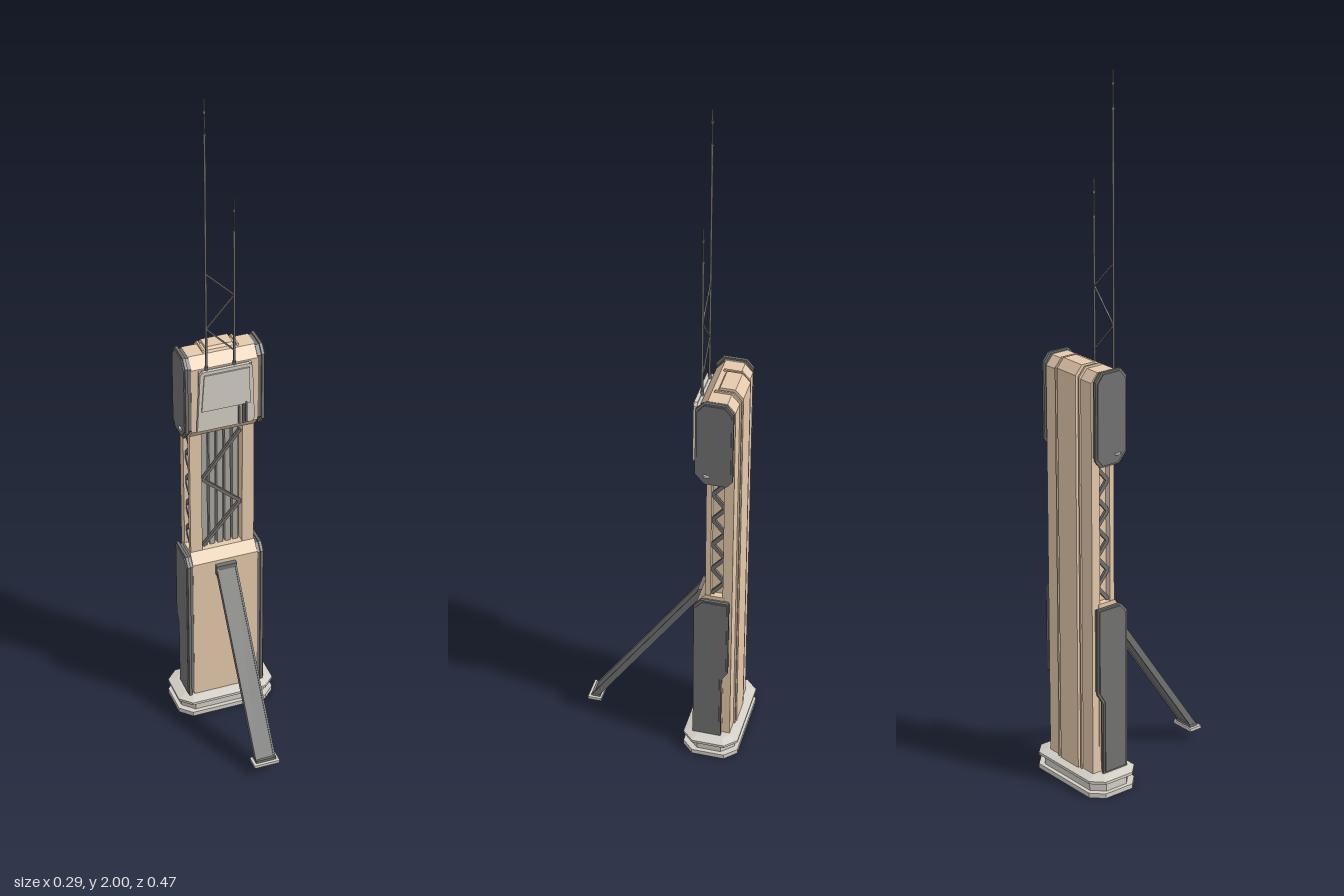
import * as THREE from 'three';

const mat = (name, color) => {
  const m = new THREE.MeshStandardMaterial({ color });
  m.name = name;
  return m;
};

export function createModel() {
  const tan = mat('tan casing', 0xe4c9ab);
  const dark = mat('dark grey metal', 0x727271);
  const light = mat('light grey', 0xd3cfc5);
  const slatGrey = mat('slat grey', 0xa9a7a1);
  const root = new THREE.Group();

  const add = (name, geo, m) => {
    const mesh = new THREE.Mesh(geo, m);
    mesh.name = name;
    root.add(mesh);
    return mesh;
  };
  // box given by its limits
  const box = (name, m, x0, x1, y0, y1, z0, z1) =>
    add(name, new THREE.BoxGeometry(x1 - x0, y1 - y0, z1 - z0)
      .translate((x0 + x1) / 2, (y0 + y1) / 2, (z0 + z1) / 2), m);
  // side profile of [z, y] points, extruded from x0 to x1
  const slab = (name, m, pts, x0, x1) => {
    const shape = new THREE.Shape(pts.map(p => new THREE.Vector2(...p)));
    const g = new THREE.ExtrudeGeometry(shape, { depth: x1 - x0, bevelEnabled: false });
    return add(name, g.rotateY(-Math.PI / 2).translate(x1, 0, 0), m);
  };
  // square bar between two points
  const bar = (name, m, a, b, w, d = w) => {
    const p = new THREE.Vector3(...a), q = new THREE.Vector3(...b);
    const mesh = add(name, new THREE.BoxGeometry(w, d, p.distanceTo(q)), m);
    mesh.position.copy(p).add(q).multiplyScalar(0.5);
    mesh.lookAt(q);
    return mesh;
  };
  const zigzag = (name, m, pts, w, d) => {
    for (let i = 1; i < pts.length; i++) bar(name, m, pts[i - 1], pts[i], w, d);
  };
  const mirrored = fn => [-1, 1].forEach(fn);
  const span = (s, a, b) => (s > 0 ? [a, b] : [-b, -a]);

  // octagonal base, hollow underneath, with a sloping top
  const octagon = (w, d, c, T) => new T([
    [-w, -d + c], [-w + c, -d], [w - c, -d], [w, -d + c],
    [w, d - c], [w - c, d], [-w + c, d], [-w, d - c],
  ].map(p => new THREE.Vector2(...p)));
  const baseLayer = (name, m, inset, y0, y1, hole, slope = 0) => {
    const shape = octagon(0.146 - inset, 0.08 - inset, 0.033, THREE.Shape);
    if (hole) shape.holes.push(octagon(0.146 - hole, 0.08 - hole, 0.025, THREE.Path));
    const g = new THREE.ExtrudeGeometry(shape, {
      depth: y1 - y0, bevelEnabled: slope > 0, bevelThickness: 0.007, bevelSize: slope,
      bevelOffset: -slope, bevelSegments: 1,
    });
    add(name, g.rotateX(-Math.PI / 2).translate(0, y0, -0.155), m);
  };
  baseLayer('baseLowerFlange', light, 0, 0, 0.014, 0.025);
  baseLayer('baseWaist', light, 0.012, 0.014, 0.042, 0.03);
  baseLayer('baseUpperFlange', light, 0, 0.042, 0.05);
  baseLayer('baseSlope', light, 0, 0.049, 0.05, 0, 0.025);
  baseLayer('baseRecess', dark, 0.028, 0.018, 0.024);
  for (let i = -2; i <= 2; i++)
    box('baseVent', slatGrey, i * 0.03 - 0.01, i * 0.03 + 0.01, 0.013, 0.018, -0.175, -0.135);

  // full-height back spine: centre ridge, grooves and outer strips
  const spine = (back, top) => [
    [-0.18, 0.05], [-0.18, top], [back + 0.022, top], [back, top - 0.025], [back, 0.05],
  ];
  slab('spineRidge', tan, spine(-0.214, 1.228), -0.039, 0.039);
  mirrored(s => {
    slab('spineGroove', tan, spine(-0.203, 1.217), ...span(s, 0.039, 0.047));
    slab('spineStrip', tan, spine(-0.212, 1.226), ...span(s, 0.047, 0.052));
    slab('spineSide', tan, spine(-0.207, 1.22), ...span(s, 0.052, 0.096));
  });

  // lower casing with sloped front shoulder
  slab('lowerCasing', tan, [
    [-0.185, 0.05], [-0.106, 0.05], [-0.106, 0.53], [-0.13, 0.56], [-0.185, 0.56],
  ], -0.097, 0.097);

  // head casing
  slab('headCasing', tan, [
    [-0.185, 0.96], [-0.13, 0.96], [-0.106, 0.988], [-0.106, 1.19], [-0.131, 1.22], [-0.185, 1.22],
  ], -0.096, 0.096);
  slab('headCrown', tan, [[-0.185, 1.215], [-0.142, 1.215], [-0.15, 1.228], [-0.185, 1.228]], -0.039, 0.039);
  mirrored(s => slab('crownRib', tan,
    [[-0.185, 1.215], [-0.134, 1.215], [-0.14, 1.226], [-0.185, 1.226]], ...span(s, 0.047, 0.052)));

  // open middle: posts, inner walls, slats and lattice
  box('slatBacking', dark, -0.062, 0.062, 0.56, 0.96, -0.185, -0.16);
  for (let i = 0; i < 5; i++) {
    const x = (i - 2) * 0.023;
    box('slat', slatGrey, x - 0.008, x + 0.008, 0.56, 0.96, -0.16, -0.148);
  }
  zigzag('frontLattice', dark, [
    [-0.056, 0.57, -0.138], [0.056, 0.70, -0.138], [-0.056, 0.80, -0.138], [0.056, 0.945, -0.138],
  ], 0.009);
  mirrored(s => {
    box('frontPost', tan, ...span(s, 0.06, 0.095), 0.555, 0.965, -0.145, -0.13);
    box('innerWall', tan, ...span(s, 0.06, 0.078), 0.555, 0.965, -0.185, -0.145);
    const pts = [];
    for (let i = 0; i <= 9; i++)
      pts.push([s * 0.087, 0.565 + i * 0.043, i % 2 ? -0.183 : -0.147]);
    zigzag('sideLattice', dark, pts, 0.007, 0.011);
  });

  // dark side armour, an inner layer and a raised outer plate
  const lowerArmour = [
    [-0.184, 0.057], [-0.102, 0.057], [-0.102, 0.53], [-0.122, 0.553],
    [-0.202, 0.553], [-0.202, 0.3], [-0.184, 0.27],
  ];
  const headArmour = [
    [-0.128, 0.96], [-0.102, 0.99], [-0.102, 1.2], [-0.122, 1.224],
    [-0.187, 1.224], [-0.206, 1.2], [-0.206, 0.98], [-0.19, 0.96],
  ];
  const shrink = pts => {
    const c = new THREE.Box2().setFromPoints(pts.map(p => new THREE.Vector2(...p))).getCenter(new THREE.Vector2());
    return pts.map(([z, y]) => [z - Math.sign(z - c.x) * 0.005, y - Math.sign(y - c.y) * 0.005]);
  };
  mirrored(s => {
    [['lowerArmour', lowerArmour], ['headArmour', headArmour]].forEach(([name, pts]) => {
      slab(name + 'Edge', dark, shrink(pts), ...span(s, 0.095, 0.107));
      slab(name, dark, pts, ...span(s, 0.106, 0.114));
      slab(name + 'Face', dark, shrink(pts), ...span(s, 0.114, 0.117));
    });
    const knob = add('sideKnob', new THREE.CylinderGeometry(0.01, 0.01, 0.006, 12), light);
    knob.position.set(s * 0.114, 0.99, -0.135);
  });

  // front display panel with a raised tapering face
  const plate = (name, m, pts, z, depth) => add(name, new THREE.ExtrudeGeometry(
    new THREE.Shape(pts.map(p => new THREE.Vector2(...p))), { depth, bevelEnabled: false }).translate(0, 0, z), m);
  plate('panelBack', light, [
    [-0.076, 1.005], [0.07, 1.005], [0.076, 1.02], [0.076, 1.185], [-0.076, 1.185]], -0.107, 0.01);
  plate('panel', light, [
    [-0.086, 1.0], [0.074, 1.0], [0.08, 1.012], [0.074, 1.18], [0.066, 1.19], [-0.07, 1.19], [-0.077, 1.18]], -0.097, 0.01);
  plate('panelFace', light, [
    [-0.074, 1.065], [0.066, 1.065], [0.064, 1.18], [-0.066, 1.18]], -0.087, 0.004);
  [0.034, 0.045, 0.054].forEach((x, i) =>
    box('panelPin', dark, x - 0.002, x + 0.002, 1.005, 1.06 + i * 0.006, -0.087, -0.08));

  // masts with collars and cross bracing
  const mast = (x, top) => {
    const rod = (name, r, y0, y1) => add(name, new THREE.CylinderGeometry(r, r, y1 - y0, 8)
      .translate(x, (y0 + y1) / 2, -0.098), dark);
    rod('mastSocket', 0.005, 1.18, 1.2);
    rod('mast', 0.0032, 1.19, top - 0.1);
    rod('mastTip', 0.0024, top - 0.1, top);
    [0.035, 0.1].forEach(d => rod('mastCollar', 0.0042, top - d - 0.003, top - d + 0.003));
  };
  mast(-0.055, 2);
  mast(0.025, 1.7);
  zigzag('mastBrace', dark, [
    [-0.055, 1.49, -0.098], [0.025, 1.41, -0.098], [-0.055, 1.32, -0.098], [0.025, 1.235, -0.098],
  ], 0.004);

  // slanted prop leg with side rails, hinge and foot
  bar('legWeb', dark, [0, 0.505, -0.1], [0, 0.045, 0.215], 0.05, 0.012);
  mirrored(s => bar('legRail', dark, [s * 0.027, 0.505, -0.1], [s * 0.027, 0.045, 0.215], 0.005, 0.018));
  box('legHinge', dark, -0.03, 0.03, 0.485, 0.518, -0.11, -0.092);
  box('legFoot', light, -0.038, 0.038, 0.033, 0.042, 0.195, 0.235);
  box('legFootTop', dark, -0.03, 0.03, 0.042, 0.05, 0.2, 0.226);

  return root;
}
